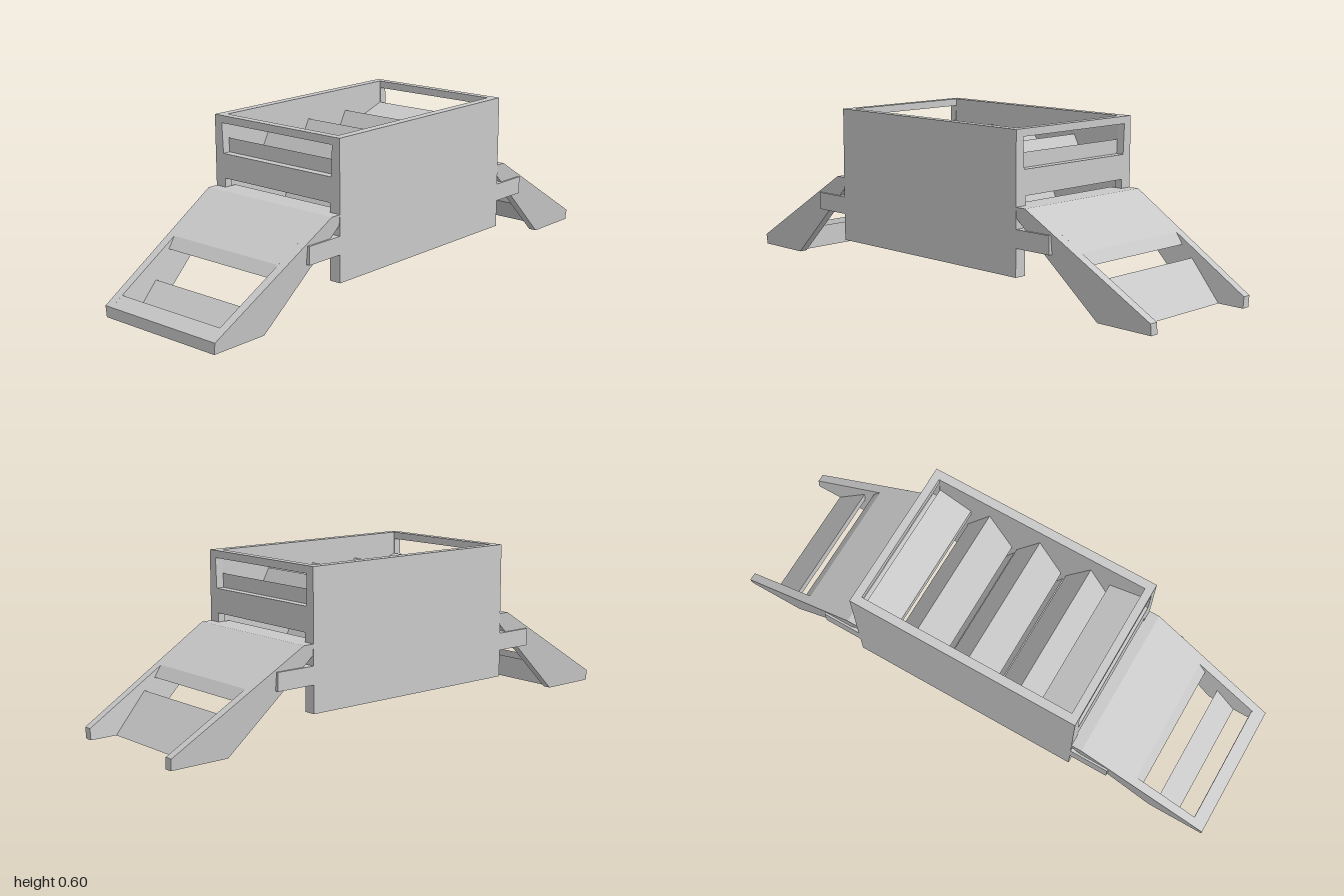
import * as THREE from 'three';

export function createModel() {
  const model = new THREE.Group();
  const grey = new THREE.MeshStandardMaterial({ color: 0xc8c8c8 });
  grey.name = 'plain grey';

  function add(parent, name, geometry) {
    const mesh = new THREE.Mesh(geometry, grey);
    mesh.name = name;
    parent.add(mesh);
  }
  const toShape = (pts) => new THREE.Shape(pts.map(([a, b]) => new THREE.Vector2(a, b)));

  // Side profile (x, y) extruded from z0 to z1
  function prism(pts, z0, z1) {
    const g = new THREE.ExtrudeGeometry(toShape(pts), { depth: z1 - z0, bevelEnabled: false });
    return g.translate(0, 0, z0);
  }

  // Leans ramp parts inwards towards the ground
  function taper(g) {
    const p = g.attributes.position;
    for (let i = 0; i < p.count; i++) {
      p.setZ(i, p.getZ(i) * (1 - 0.35 * (0.34 - p.getY(i))));
    }
    g.computeVertexNormals();
    return g;
  }

  // Bin: long walls, and end walls with a window and a doorway
  const bin = new THREE.Group();
  bin.name = 'bin';
  model.add(bin);
  for (const s of [1, -1]) {
    const wall = new THREE.BoxGeometry(0.9, 0.5, 0.033);
    add(bin, 'longWall', wall.translate(0, 0.35, s * 0.2785));

    const end = toShape([
      [-0.295, 0.1], [-0.25, 0.1], [-0.25, 0.373], [0.25, 0.373],
      [0.25, 0.1], [0.295, 0.1], [0.295, 0.6], [-0.295, 0.6],
    ]);
    end.holes.push(toShape([[-0.256, 0.463], [0.256, 0.463], [0.261, 0.573], [-0.261, 0.573]]));
    const endGeo = new THREE.ExtrudeGeometry(end, { depth: 0.03, bevelEnabled: false });
    endGeo.rotateY(Math.PI / 2).translate(s > 0 ? 0.42 : -0.45, 0, 0);
    add(bin, 'endWall', endGeo);

    // Gently sloping plate behind each window
    add(bin, 'endPlate', prism(
      [[s * 0.42, 0.515], [s * 0.29, 0.47], [s * 0.29, 0.44], [s * 0.42, 0.463]], -0.262, 0.262));
  }

  // Roof-shaped baffles: three hollow ones above, two solid ones below the gaps
  for (const x of [-0.21, 0, 0.21]) {
    add(bin, 'upperBaffle', prism([
      [x - 0.095, 0.34], [x, 0.515], [x + 0.095, 0.34],
      [x + 0.065, 0.34], [x, 0.46], [x - 0.065, 0.34],
    ], -0.262, 0.262));
  }
  for (const x of [-0.105, 0.105]) {
    add(bin, 'lowerBaffle', prism([[x - 0.075, 0.13], [x, 0.3], [x + 0.075, 0.13]], -0.262, 0.262));
  }

  // Ramps at both ends
  for (const s of [1, -1]) {
    const ramp = new THREE.Group();
    ramp.name = s > 0 ? 'leftRamp' : 'rightRamp';
    model.add(ramp);
    const side = (pts) => pts.map(([x, y]) => [s * x, y]);

    // Sill through the doorway, then the sloping deck that rolls off at its lower edge
    add(ramp, 'sill', prism(side([[0.4, 0.31], [0.45, 0.31], [0.45, 0.34], [0.4, 0.34]]), -0.25, 0.25));
    add(ramp, 'deck', taper(prism(side([
      [0.45, 0.3], [0.48, 0.3], [0.69, 0.177], [0.73, 0.177], [0.7, 0.2165], [0.49, 0.34], [0.45, 0.34],
    ]), -0.26, 0.26)));

    for (const [r0, r1] of [[0.26, 0.295], [-0.295, -0.26]]) {
      add(ramp, 'rail', taper(prism(
        side([[0.45, 0.34], [0.49, 0.34], [1, 0.04], [1, 0], [0.78, 0], [0.45, 0.3]]), r0, r1)));
      add(ramp, 'bracket', prism(side([[0.44, 0.2], [0.6, 0.2], [0.6, 0.265], [0.44, 0.265]]), r0, r1));
    }

    // Lower tread: a leaning board on one ramp, a wedge and foot bar on the other
    if (s > 0) {
      add(ramp, 'tread', taper(prism(
        side([[0.775, 0.137], [0.9, 0], [0.86, 0], [0.775, 0.093]]), -0.26, 0.26)));
    } else {
      add(ramp, 'tread', taper(prism(side([[0.8, 0.085], [0.887, 0], [0.8, 0]]), -0.26, 0.26)));
      add(ramp, 'footBar', taper(prism(
        side([[0.95, 0], [1, 0], [1, 0.04], [0.95, 0.069]]), -0.26, 0.26)));
    }
  }
  return model;
}
